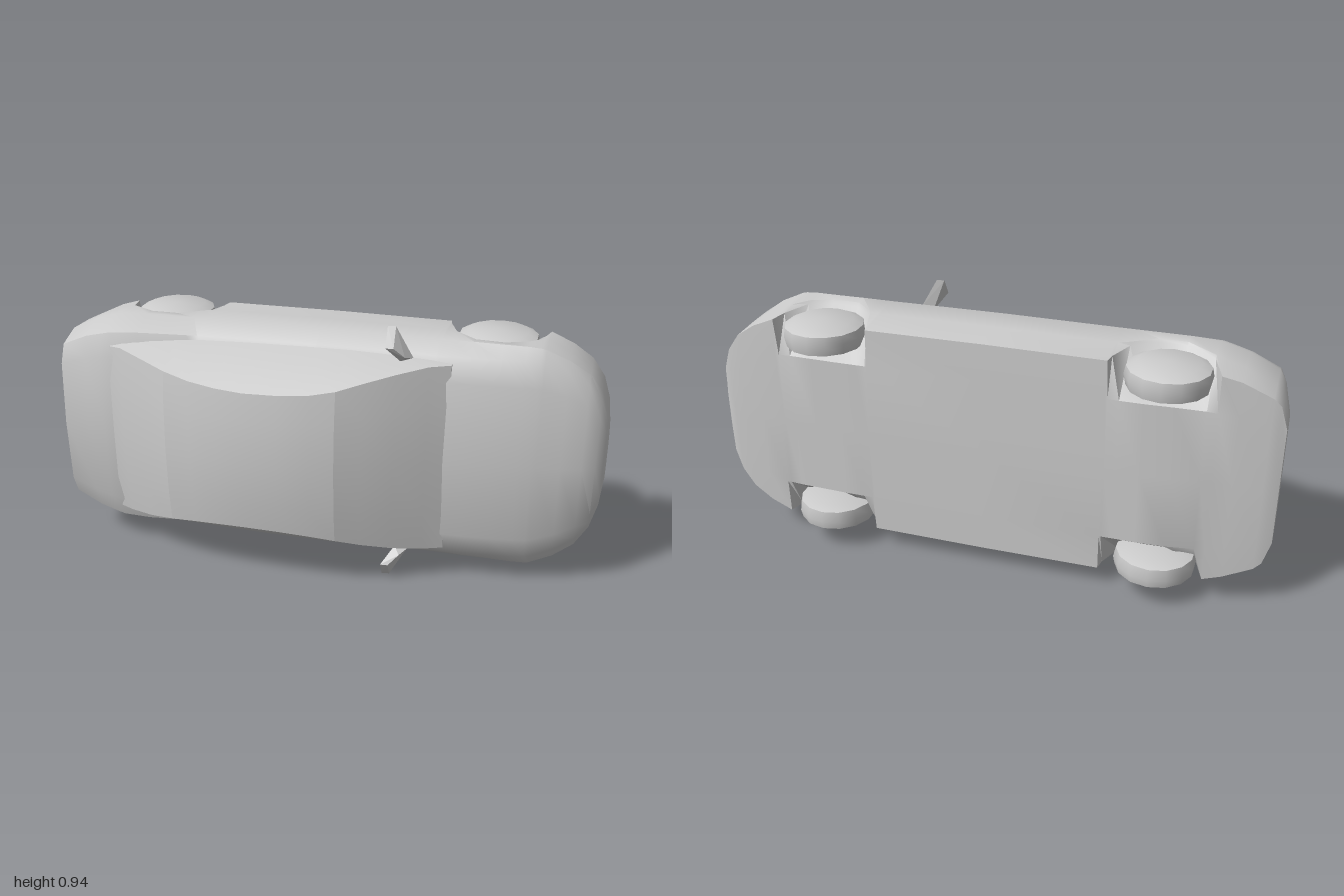
import * as THREE from 'three';
import { toCreasedNormals } from 'three/addons/utils/BufferGeometryUtils.js';
import { ConvexGeometry } from 'three/addons/geometries/ConvexGeometry.js';

// A saloon car lying on its side: nose to +x, roof to +z, width along y.
const MID = 0.4725;
const grey = new THREE.MeshStandardMaterial({ color: 0xcccccc, side: THREE.DoubleSide });

// Mirrors a half section of [y, z], from bottom centre to top centre, into a ring.
const ring = (half) => [...half, ...half.slice(1, -1).reverse().map(([y, z]) => [-y, z])];

// Skins rings placed along x and caps both ends.
function loft(name, stations, crease = 0.75) {
  const n = stations[0].pts.length, pos = [], idx = [];
  for (const { x, pts } of stations) for (const [y, z] of pts) pos.push(x, y + MID, z);
  for (let i = 0; i < stations.length - 1; i++) {
    for (let j = 0; j < n; j++) {
      const k = (j + 1) % n, a = i * n, b = a + n;
      idx.push(a + j, a + k, b + k, a + j, b + k, b + j);
    }
  }
  const end = (stations.length - 1) * n;
  for (let j = 1; j < n - 1; j++) idx.push(0, j + 1, j, end, end + j, end + j + 1);
  const geo = new THREE.BufferGeometry();
  geo.setAttribute('position', new THREE.Float32BufferAttribute(pos, 3));
  geo.setIndex(idx);
  const mesh = new THREE.Mesh(toCreasedNormals(geo, crease), grey);
  mesh.name = name;
  return mesh;
}

// Body section: flat floor, wheel-arch lip, flank, shoulder and deck.
function bodyStation([x, w, floor, lip, top]) {
  const side = Math.min(0.02, top - 0.06);
  return { x, pts: ring([
    [0, floor], [0.64 * w, floor], [0.965 * w, lip], [0.99 * w, Math.max(lip + 0.01, -0.1)],
    [w, side], [0.9 * w, top - 0.04], [0.7 * w, top - 0.012], [0, top],
  ]) };
}

// Cabin section: sloping side glass up to a gently crowned roof.
function cabinStation([x, top, wide]) {
  const base = 0.085, edge = Math.max(top - 0.022, base + 0.01);
  const sideY = (z) => wide - 0.2 * (z - base) - 1.5 * (z - base) ** 2;
  const mid = (base + edge) / 2;
  return { x, pts: ring([
    [0, base], [sideY(base), base], [sideY(mid), mid], [sideY(edge), edge],
    [0.6 * sideY(edge), top - 0.007], [0, top],
  ]) };
}

export function createModel() {
  const car = new THREE.Group();
  car.name = 'car';

  // x, half width, floor z, arch lip z, deck z
  const body = [
    [-1.0, 0.22, -0.18, -0.18, -0.01],
    [-0.975, 0.305, -0.19, -0.185, 0.04],
    [-0.95, 0.33, -0.195, -0.19, 0.148],
    [-0.85, 0.378, -0.205, -0.2, 0.158],
    [-0.785, 0.396, -0.212, -0.21, 0.164],
    [-0.75, 0.405, -0.22, -0.1, 0.166],
    [-0.65, 0.411, -0.23, -0.035, 0.16],
    [-0.55, 0.411, -0.235, -0.035, 0.148],
    [-0.47, 0.411, -0.235, -0.09, 0.14],
    [-0.432, 0.411, -0.235, -0.19, 0.135],
    [-0.425, 0.411, -0.235, -0.232, 0.135],
    [0.0, 0.413, -0.235, -0.232, 0.125],
    [0.415, 0.41, -0.235, -0.232, 0.118],
    [0.422, 0.41, -0.235, -0.2, 0.118],
    [0.455, 0.41, -0.235, -0.1, 0.117],
    [0.53, 0.41, -0.235, -0.03, 0.114],
    [0.63, 0.409, -0.232, -0.025, 0.106],
    [0.71, 0.409, -0.23, -0.06, 0.096],
    [0.755, 0.406, -0.228, -0.16, 0.089],
    [0.77, 0.403, -0.228, -0.222, 0.086],
    [0.85, 0.368, -0.224, -0.22, 0.07],
    [0.92, 0.32, -0.22, -0.216, 0.053],
    [0.965, 0.255, -0.216, -0.213, 0.033],
    [0.99, 0.175, -0.212, -0.21, 0.01],
    [1.0, 0.09, -0.2, -0.195, -0.03],
  ];
  car.add(loft('body', body.map(bodyStation)));

  // x, roof z, half width at the belt line
  const cabin = {
    rearWindow: [[-0.75, 0.165, 0.335], [-0.7, 0.183, 0.345], [-0.6, 0.232, 0.355], [-0.5, 0.272, 0.36]],
    roof: [[-0.5, 0.272, 0.36], [-0.4, 0.298, 0.362], [-0.3, 0.313, 0.364], [-0.2, 0.32, 0.365],
      [-0.08, 0.317, 0.365], [0.03, 0.307, 0.365], [0.115, 0.288, 0.365]],
    windshield: [[0.115, 0.288, 0.365], [0.2, 0.251, 0.363], [0.3, 0.203, 0.36], [0.4, 0.148, 0.355],
      [0.47, 0.11, 0.348]],
  };
  for (const [name, rows] of Object.entries(cabin)) car.add(loft(name, rows.map(cabinStation)));

  // Wheels: low-sided discs with rounded tyre shoulders, axles along y
  const tyre = [[0, -0.05], [0.1, -0.05], [0.136, -0.038], [0.144, 0], [0.138, 0.03], [0.105, 0.046], [0, 0.05]]
    .map(([r, h]) => new THREE.Vector2(r, h));
  const wheelGeo = toCreasedNormals(new THREE.LatheGeometry(tyre, 14), 0.8);
  for (const x of [-0.615, 0.592]) {
    for (const side of [1, -1]) {
      const wheel = new THREE.Mesh(wheelGeo, grey);
      wheel.name = `${x > 0 ? 'front' : 'rear'}Wheel`;
      wheel.position.set(x, MID + side * 0.35, -0.178);
      if (side < 0) wheel.rotation.x = Math.PI;
      car.add(wheel);
    }
  }

  // Door mirrors: small wedges leaning back from the front pillars
  const mirrorPts = [
    [0.255, 0.4725, 0.118], [0.282, 0.4725, 0.114], [0.258, 0.41, 0.165], [0.285, 0.41, 0.163],
    [0.3, 0.352, 0.115], [0.342, 0.365, 0.106], [0.29, 0.385, 0.142], [0.32, 0.375, 0.142],
  ];
  for (const side of [1, -1]) {
    const pts = mirrorPts.map(([x, y, z]) => new THREE.Vector3(x, MID + side * y, z));
    const mirror = new THREE.Mesh(new ConvexGeometry(pts), grey);
    mirror.name = 'doorMirror';
    car.add(mirror);
  }
  return car;
}
